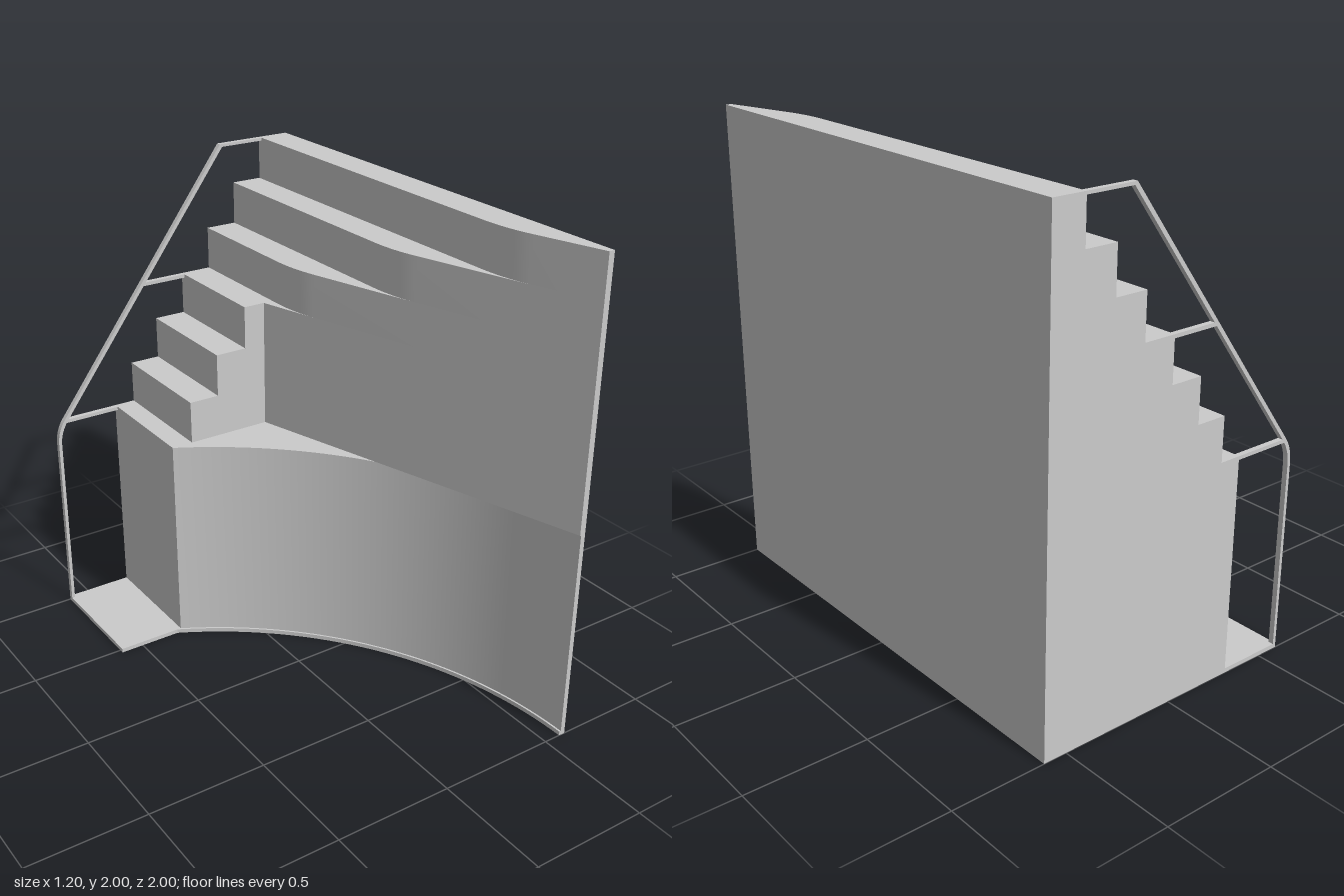
import * as THREE from 'three';
import { toCreasedNormals } from 'three/addons/utils/BufferGeometryUtils.js';

const BACK = -1, FRONT = 1, WALL = 0.6, LANDING = -0.48;

// Straight upper side wall, running from the landing edge to the front tip
const TIP = 0.575, CORNER = 0.147;
const sideX = (z) => CORNER + (TIP - CORNER) * (z - LANDING) / (FRONT - LANDING);
const sideZ = (x) => LANDING + (FRONT - LANDING) * (x - CORNER) / (TIP - CORNER);

const material = new THREE.MeshStandardMaterial({ color: 0xcccccc });

// Raise a plan outline of [x, z] points from y0 to y1
function prism(name, plan, y0, y1) {
  const shape = new THREE.Shape(plan.map(([x, z]) => new THREE.Vector2(x, -z)));
  let geometry = new THREE.ExtrudeGeometry(shape, { depth: y1 - y0, bevelEnabled: false });
  geometry.rotateX(-Math.PI / 2).translate(0, y0, 0);
  geometry = toCreasedNormals(geometry, 0.2);
  const mesh = new THREE.Mesh(geometry, material);
  mesh.name = name;
  return mesh;
}

// Concave arc from the front tip back to the landing edge
function concaveArc(radius, steps = 40) {
  const cx = -1.096, cz = 1;
  const end = Math.asin((cz - LANDING) / radius);
  return Array.from({ length: steps + 1 }, (_, i) => {
    const a = end * i / steps;
    return [cx + radius * Math.cos(a), cz - radius * Math.sin(a)];
  });
}

// Plan of one step: square at the landing, or rounded into the slanted side wall
function stepPlan(riser) {
  const plan = [[riser, BACK], [WALL, BACK], [WALL, FRONT], [TIP, FRONT]];
  if (riser < CORNER) {
    plan.push([CORNER, LANDING], [riser, LANDING]);
  } else {
    const z = sideZ(riser), r = 0.11;
    const curve = new THREE.QuadraticBezierCurve(
      new THREE.Vector2(sideX(z + r), z + r),
      new THREE.Vector2(riser, z),
      new THREE.Vector2(riser, z - r));
    curve.getPoints(8).forEach((p) => plan.push([p.x, p.y]));
  }
  return plan;
}

export function createModel() {
  const group = new THREE.Group();
  group.name = 'staircase';

  // Floor plate and the curved block standing on it
  group.add(prism('basePlate',
    [[-0.6, BACK], [WALL, BACK], [WALL, FRONT], ...concaveArc(1.668), [-0.6, LANDING]], 0, 0.018));
  group.add(prism('lowerBlock',
    [[-0.309, BACK], [WALL, BACK], [WALL, FRONT], ...concaveArc(1.676)], 0.018, 0.91));

  // Steps
  const risers = [-0.217, -0.085, 0.053, 0.19, 0.327, 0.462];
  const rise = (2 - 0.91) / risers.length;
  risers.forEach((x, i) => {
    group.add(prism('step' + (i + 1), stepPlan(x), 0.91 + i * rise, 0.91 + (i + 1) * rise));
  });

  // Handrail: a thin ribbon up the post, round the bend and along the slope
  const rail = new THREE.Shape();
  rail.moveTo(-0.6, 0.018);
  rail.lineTo(-0.586, 0.018);
  rail.lineTo(-0.586, 0.8);
  rail.quadraticCurveTo(-0.586, 0.857, -0.546, 0.91);
  rail.lineTo(0.261, 1.988);
  rail.lineTo(0.462, 1.988);
  rail.lineTo(0.462, 2);
  rail.lineTo(0.25, 2);
  rail.lineTo(-0.565, 0.91);
  rail.quadraticCurveTo(-0.6, 0.863, -0.6, 0.8);
  const railDepth = 0.022;
  const railGeometry = new THREE.ExtrudeGeometry(rail, { depth: railDepth, bevelEnabled: false, curveSegments: 8 });
  const handrail = new THREE.Mesh(toCreasedNormals(railGeometry, 0.3), material);
  handrail.position.z = BACK;
  handrail.name = 'handrail';
  group.add(handrail);

  // Struts tying the rail to the steps
  [['lowerStrut', -0.555, -0.309, 0.91], ['upperStrut', -0.15, 0.053, 1.455]].forEach(([name, x0, x1, top]) => {
    const strut = new THREE.Mesh(new THREE.BoxGeometry(x1 - x0, 0.015, railDepth), material);
    strut.position.set((x0 + x1) / 2, top - 0.0075, BACK + railDepth / 2);
    strut.name = name;
    group.add(strut);
  });

  return group;
}
